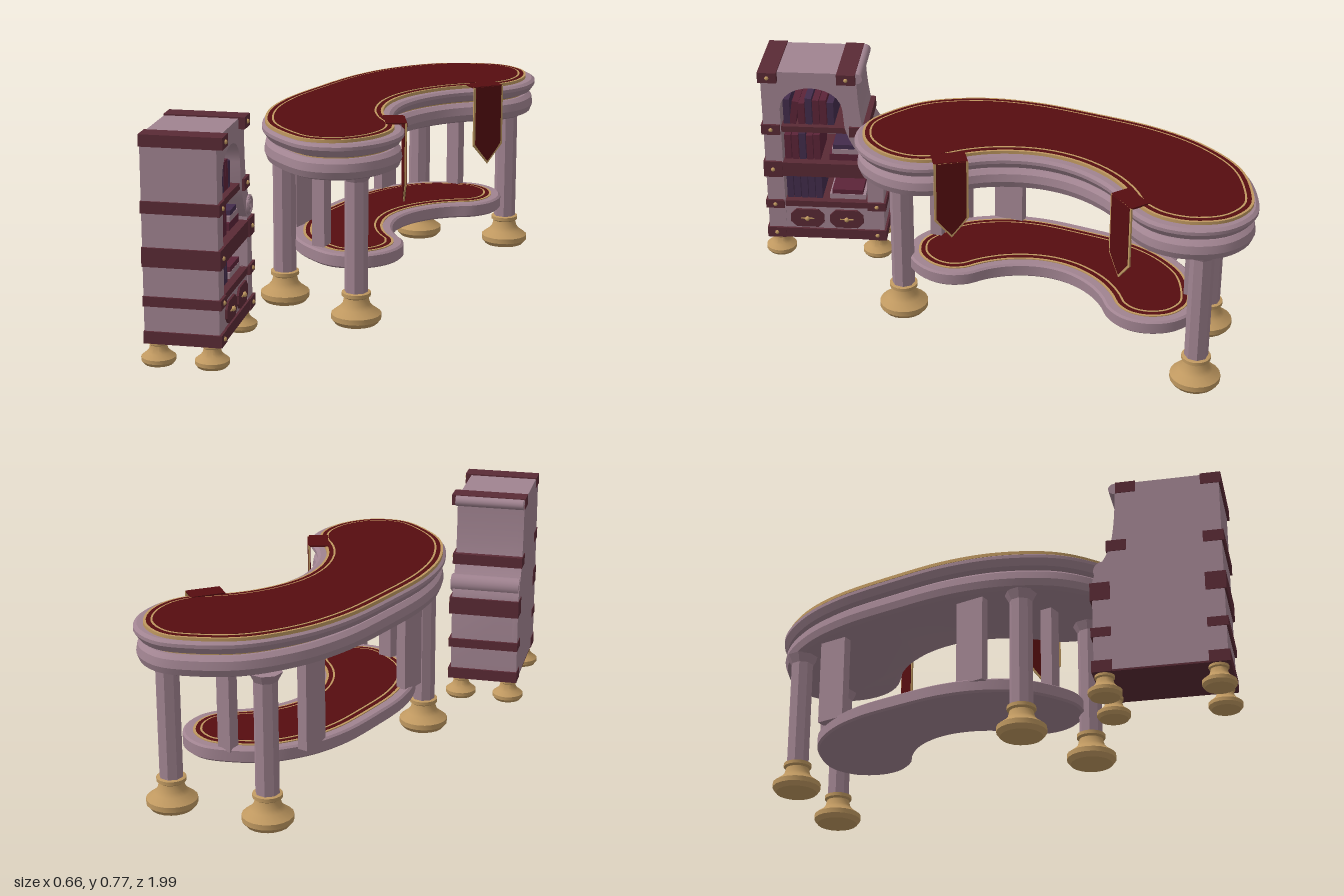
import * as THREE from 'three';
import { toCreasedNormals } from 'three/addons/utils/BufferGeometryUtils.js';

const mat = (name, color, side = THREE.FrontSide) => {
  const m = new THREE.MeshStandardMaterial({ color, side });
  m.name = name;
  return m;
};

export function createModel() {
  const mauve = mat('mauve wood', 0xa08390);
  const maroon = mat('maroon trim', 0x5a2a35);
  const red = mat('red cloth', 0x560d10);
  const gold = mat('gold', 0xbf9860);
  const plum = mat('plum book', 0x432c4c);
  const wine = mat('wine book', 0x5c2438);

  const model = new THREE.Group();
  const add = (parent, name, geo, material, x = 0, y = 0, z = 0) => {
    const m = new THREE.Mesh(geo, material);
    m.name = name;
    m.position.set(x, y, z);
    parent.add(m);
    return m;
  };

  // Turned foot, scaled from a unit profile
  const foot = (parent, name, r, h, x, z) => {
    const profile = [[0, 0], [0.85, 0.02], [1, 0.16], [1, 0.32], [0.68, 0.5], [0.55, 0.62], [0.48, 0.82],
      [0.58, 0.87], [0.58, 0.98], [0.5, 1], [0, 1]].map(([a, b]) => new THREE.Vector2(a * r, b * h));
    add(parent, name, toCreasedNormals(new THREE.LatheGeometry(profile, 20), 0.6), gold, x, 0, z);
  };

  // ---------- Desk ----------
  const desk = new THREE.Group();
  desk.name = 'desk';
  desk.position.z = -0.272;
  model.add(desk);

  // Kidney outline: half of it, mirrored across the middle
  const half = [[-0.295, 0], [-0.285, 0.24], [-0.235, 0.43], [-0.13, 0.6], [0, 0.69], [0.12, 0.727], [0.24, 0.68],
    [0.31, 0.57], [0.318, 0.45], [0.275, 0.355], [0.205, 0.29], [0.145, 0.21], [0.1, 0.1], [0.087, 0]];
  const loop = [...half, ...half.slice(1, -1).reverse().map(([x, d]) => [x, -d])].reverse();
  const curve = new THREE.CatmullRomCurve3(loop.map(([x, d]) => new THREE.Vector3(x, d, 0)), true, 'centripetal');
  const makeOutline = (sx, sy) => curve.getSpacedPoints(112).slice(0, -1)
    .map((p) => new THREE.Vector2(p.x * sx, p.y * sy));
  const inset = (pts, k) => pts.map((p, i) => {
    const a = pts[(i + pts.length - 1) % pts.length], b = pts[(i + 1) % pts.length];
    const t = b.clone().sub(a).normalize();
    return new THREE.Vector2(p.x - t.y * k, p.y + t.x * k);
  });

  // Solid slab lofted from inset outlines, [inset, height] from bottom to top
  const slab = (outline, levels) => {
    const n = outline.length, pos = [], index = [];
    const rings = levels.map(([k]) => inset(outline, k));
    rings.forEach((ring, j) => ring.forEach((p) => pos.push(p.x, levels[j][1], -p.y)));
    for (let j = 0; j < levels.length - 1; j++) {
      for (let i = 0; i < n; i++) {
        const a = j * n + i, b = j * n + (i + 1) % n;
        index.push(a, b, b + n, a, b + n, a + n);
      }
    }
    const top = (levels.length - 1) * n;
    THREE.ShapeUtils.triangulateShape(rings[0], []).forEach(([a, b, c]) => index.push(a, c, b));
    THREE.ShapeUtils.triangulateShape(rings[rings.length - 1], [])
      .forEach(([a, b, c]) => index.push(top + a, top + b, top + c));
    const g = new THREE.BufferGeometry();
    g.setAttribute('position', new THREE.Float32BufferAttribute(pos, 3));
    g.setIndex(index);
    return toCreasedNormals(g, 0.5);
  };

  // Cloth with a double gold border
  const cloth = (name, outline, k, y) => {
    add(desk, name + 'Edge', slab(outline, [[k, y - 0.012], [k, y]]), gold);
    add(desk, name + 'Band', slab(outline, [[k + 0.009, y - 0.003], [k + 0.009, y + 0.001]]), red);
    add(desk, name + 'Line', slab(outline, [[k + 0.024, y - 0.003], [k + 0.024, y + 0.002]]), gold);
    add(desk, name, slab(outline, [[k + 0.031, y - 0.003], [k + 0.031, y + 0.003]]), red);
  };

  const topLine = makeOutline(1, 1), shelfLine = makeOutline(0.82, 0.745);
  add(desk, 'apron', slab(topLine, [[0.03, 0.54], [0.012, 0.548], [0.003, 0.572], [0.008, 0.6], [0.025, 0.613]]), mauve);
  add(desk, 'neckTrim', slab(topLine, [[0.035, 0.61], [0.035, 0.624]]), gold);
  add(desk, 'deskTop', slab(topLine, [[0.03, 0.618], [0.012, 0.625], [-0.004, 0.648], [-0.004, 0.66], [0.008, 0.668]]), mauve);
  const runnerTop = 0.679;
  cloth('topCloth', topLine.map((p) => new THREE.Vector2(p.x - 0.014, p.y)), 0.018, runnerTop);
  add(desk, 'lowerShelf', slab(shelfLine, [[0.008, 0.185], [0, 0.192], [0, 0.23], [0.008, 0.236]]), mauve);
  cloth('shelfCloth', shelfLine, 0.035, 0.239);

  // Hanging pennant outline, shrunk by k for the red face
  const pennant = (k) => {
    const w = 0.06 - k, s = new THREE.Shape();
    s.moveTo(-w, 0.682);
    s.lineTo(-w, 0.46 + k * 0.6);
    s.quadraticCurveTo(-0.03, 0.425 + k, 0, 0.388 + k * 1.4);
    s.quadraticCurveTo(0.03, 0.425 + k, w, 0.46 + k * 0.6);
    s.lineTo(w, 0.682);
    return s;
  };

  for (const s of [1, -1]) {
    // Legs: front and back
    for (const [x, d] of [[0.197, 0.556], [-0.145, 0.482]]) {
      const z = s * d - 0.023;
      foot(desk, 'deskFoot', 0.087, 0.115, x, z);
      const leg = new THREE.CylinderGeometry(0.041, 0.041, 0.43, 8).rotateY(Math.PI / 8).toNonIndexed();
      leg.computeVertexNormals();
      add(desk, 'leg', leg, mauve, x, 0.325, z);
      const cap = new THREE.CylinderGeometry(0.058, 0.041, 0.032, 8).rotateY(Math.PI / 8).toNonIndexed();
      cap.computeVertexNormals();
      add(desk, 'legCapital', cap, mauve, x, 0.526, z);
    }
    // Uprights between the shelf and the apron
    add(desk, 'backUpright', new THREE.BoxGeometry(0.035, 0.32, 0.108), mauve, -0.19, 0.385, s * 0.3 - 0.015);
    add(desk, 'endUpright', new THREE.BoxGeometry(0.05, 0.32, 0.045), mauve, 0.02, 0.385, s * 0.485 - 0.01);

    // Cloth pennant over the inner edge
    const hang = new THREE.Group();
    hang.name = 'pennant';
    hang.position.set(0.252, 0, s * 0.312);
    hang.rotation.y = Math.PI / 2 + s * 0.61;
    desk.add(hang);
    add(hang, 'pennantBorder', new THREE.ExtrudeGeometry(pennant(0), { depth: 0.006, bevelEnabled: false }), gold);
    add(hang, 'pennantCloth', new THREE.ExtrudeGeometry(pennant(0.008), { depth: 0.01, bevelEnabled: false }), red, 0, 0, -0.002);
    add(hang, 'pennantFold', new THREE.BoxGeometry(0.118, 0.006, 0.07), red, 0, 0.681, -0.031);
  }

  // ---------- Bookcase: x is forward, s runs from the straight end to the curved end ----------
  const bookcase = new THREE.Group();
  bookcase.name = 'bookcase';
  bookcase.position.set(-0.165, 0, 0.978);
  bookcase.rotation.y = THREE.MathUtils.degToRad(20.5);
  model.add(bookcase);
  const box = (name, m, s0, s1, y0, y1, x0, x1) => add(bookcase, name,
    new THREE.BoxGeometry(x1 - x0, y1 - y0, s1 - s0), m, (x0 + x1) / 2, (y0 + y1) / 2, -(s0 + s1) / 2);

  const profile = () => {
    const s = new THREE.Shape();
    s.moveTo(0, 0.085);
    s.lineTo(0.435, 0.085);
    s.lineTo(0.435, 0.4);
    s.bezierCurveTo(0.425, 0.46, 0.375, 0.49, 0.365, 0.56);
    s.quadraticCurveTo(0.35, 0.64, 0.35, 0.768);
    s.lineTo(0, 0.768);
    return s;
  };
  const extrude = (shape, depth) => toCreasedNormals(
    new THREE.ExtrudeGeometry(shape, { depth, bevelEnabled: false, curveSegments: 12 }).rotateY(Math.PI / 2), 0.5);

  // Carcass with an arched opening, and its back
  const frame = profile(), hole = new THREE.Path();
  hole.moveTo(0.065, 0.1);
  hole.lineTo(0.065, 0.62);
  hole.bezierCurveTo(0.075, 0.735, 0.285, 0.735, 0.295, 0.62);
  hole.lineTo(0.3, 0.55);
  hole.quadraticCurveTo(0.32, 0.47, 0.375, 0.41);
  hole.lineTo(0.375, 0.1);
  frame.holes.push(hole);
  add(bookcase, 'carcass', extrude(frame, 0.23), mauve, 0.02);
  add(bookcase, 'backPanel', extrude(profile(), 0.02), mauve);

  // Rolls on the curved end
  for (const [name, s, y, r] of [['topRoll', 0.353, 0.752, 0.019], ['scroll', 0.396, 0.447, 0.034]]) {
    add(bookcase, name, new THREE.CylinderGeometry(r, r, 0.254, 20).rotateZ(Math.PI / 2), mauve, 0.129, y, -s);
  }
  for (const r of [0.027, 0.013]) {
    add(bookcase, 'scrollRing', new THREE.TorusGeometry(r, 0.004, 6, 20).rotateY(Math.PI / 2), mauve, 0.256, 0.447, -0.396);
  }

  // Bands wrapping both ends, with gold studs: [bottom, top, end of band]
  const bands = [[0.733, 0.773, 0.348], [0.515, 0.555, 0.385], [0.338, 0.402, 0.443], [0.205, 0.238, 0.443], [0.079, 0.12, 0.443]];
  bands.forEach(([y0, y1, end], i) => {
    const front = i === 0 ? 0.272 : 0.259;
    box('straightEndBand', maroon, -0.007, 0.062, y0, y1, -0.002, front);
    box('curvedEndBand', maroon, end - 0.068, end, y0, y1, -0.002, front);
    for (const s of [0.028, end - 0.034]) {
      add(bookcase, 'stud', new THREE.SphereGeometry(0.008, 10, 6), gold, front, (y0 + y1) / 2, -s);
    }
  });

  // Shelves and base
  box('upperShelf', maroon, 0.05, 0.33, 0.522, 0.545, 0.015, 0.245);
  box('middleShelf', maroon, 0.05, 0.4, 0.342, 0.398, 0.015, 0.255);
  box('lowerBoard', maroon, 0.05, 0.4, 0.21, 0.234, 0.015, 0.25);
  box('base', maroon, 0, 0.436, 0.079, 0.118, 0.001, 0.256);

  // Drawers with eight-sided plates and gold pulls
  box('drawerFront', mauve, 0.06, 0.38, 0.118, 0.21, 0.1, 0.247);
  for (const s of [0.146, 0.294]) {
    const w = 0.063, h = 0.037, c = 0.022;
    const plate = new THREE.Shape([[-w, -h + c], [-w + c, -h], [w - c, -h], [w, -h + c], [w, h - c], [w - c, h], [-w + c, h], [-w, h - c]]
      .map(([a, b]) => new THREE.Vector2(a, b)));
    add(bookcase, 'drawerPlate', extrude(plate, 0.008), maroon, 0.247, 0.163, -s);
    add(bookcase, 'drawerPull', new THREE.SphereGeometry(0.009, 10, 8), gold, 0.259, 0.163, -s);
    add(bookcase, 'pullBar', new THREE.BoxGeometry(0.004, 0.004, 0.05), gold, 0.256, 0.163, -s);
  }

  // Upright books: [first s, shelf height, heights]
  const rows = [[0.072, 0.546, [0.1, 0.092, 0.085, 0.105, 0.098, 0.1, 0.09]],
    [0.07, 0.399, [0.1, 0.1, 0.108, 0.1, 0.104]], [0.07, 0.235, [0.098, 0.1, 0.09, 0.1, 0.096]]];
  rows.forEach(([s0, y, heights], r) => heights.forEach((h, i) => {
    const book = box('book', (i + r) % 3 === 0 || (r === 2 && i < 4) ? plum : wine,
      s0 + i * 0.027, s0 + i * 0.027 + 0.024, y, y + h, 0.06, 0.225);
    if (r === 0 && i === 1) book.rotation.x = -0.15;
  }));
  // Books lying flat
  [[0.235, 0.36, 0.399, 0.425, wine], [0.245, 0.345, 0.426, 0.446, mauve], [0.25, 0.33, 0.447, 0.464, plum],
    [0.23, 0.365, 0.235, 0.255, mauve], [0.24, 0.355, 0.256, 0.274, wine]]
    .forEach(([s0, s1, y0, y1, m]) => box('flatBook', m, s0, s1, y0, y1, 0.07, 0.225));

  for (const s of [0.035, 0.405]) for (const x of [0.035, 0.215]) foot(bookcase, 'bookcaseFoot', 0.057, 0.08, x, -s);

  return model;
}
